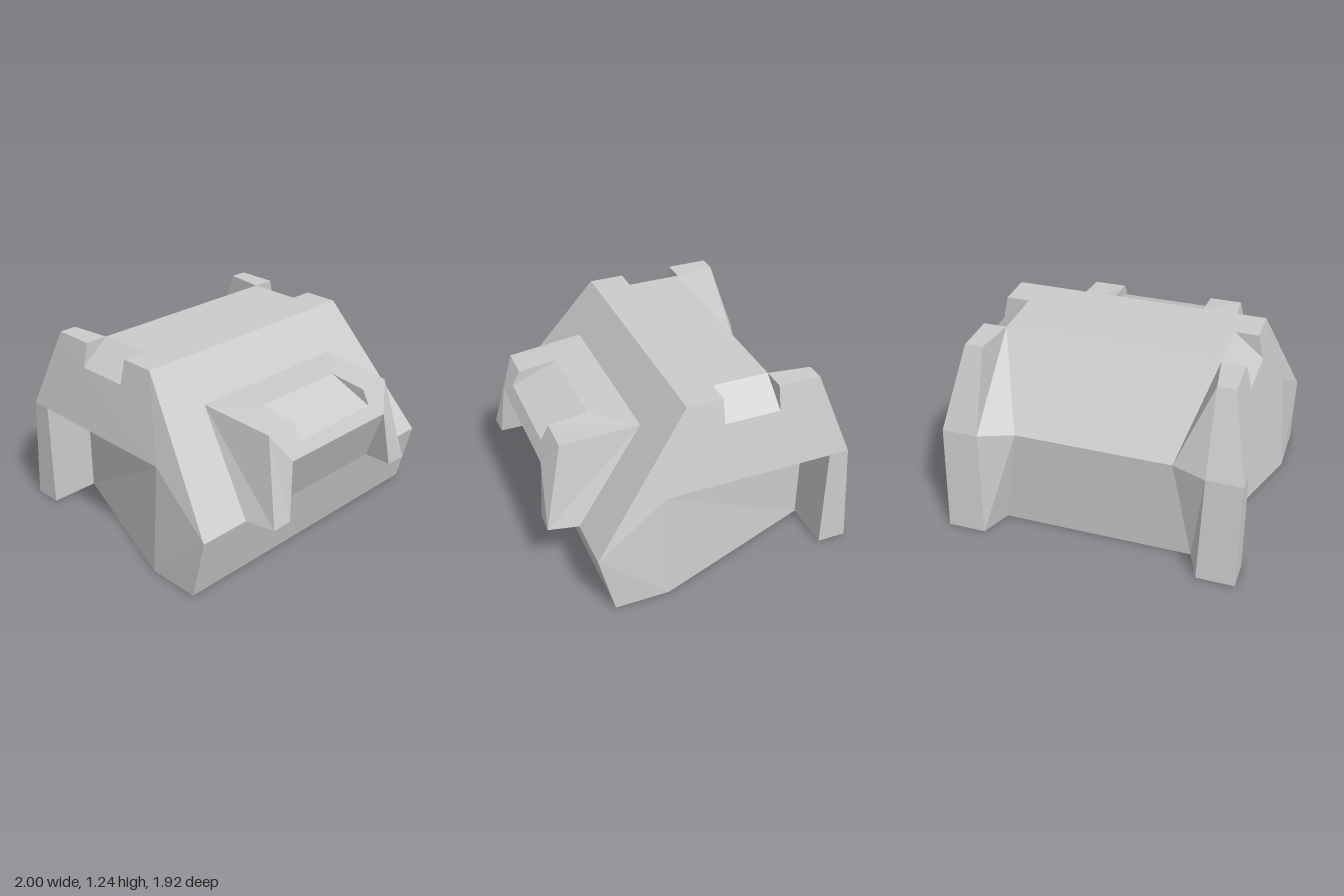
import * as THREE from 'three';

const material = new THREE.MeshStandardMaterial({ color: 0xcccccc, flatShading: true });
const AXES = { x: [1, 2], y: [0, 2], z: [0, 1] };
const mirror = ([x, y, z]) => [-x, y, z];

// A flat panel with the given corners; it faces along the named axis, e.g. '+x'.
function panel(facing, corners) {
  const axis = facing[1];
  const sign = facing[0] === '+' ? 1 : -1;
  const [a, b] = AXES[axis];
  const v = corners.map((p) => new THREE.Vector3(...p));
  const flat = corners.map((p) => new THREE.Vector2(p[a], p[b]));
  const out = [];
  for (const [i, j, k] of THREE.ShapeUtils.triangulateShape(flat, [])) {
    const n = v[j].clone().sub(v[i]).cross(v[k].clone().sub(v[i]));
    const tri = n[axis] * sign >= 0 ? [i, j, k] : [i, k, j];
    tri.forEach((t) => out.push(...corners[t]));
  }
  return out;
}

// Panel across the middle, given its +x half outline.
const span = (facing, half) => panel(facing, [...half, ...half.map(mirror).reverse()]);

// Panel on the +x side and its mirror image.
function pair(facing, corners) {
  const other = facing[1] === 'x' ? (facing[0] === '+' ? '-x' : '+x') : facing;
  return [...panel(facing, corners), ...panel(other, corners.map(mirror))];
}

function part(name, ...panels) {
  const geometry = new THREE.BufferGeometry();
  geometry.setAttribute('position', new THREE.Float32BufferAttribute(panels.flat(), 3));
  geometry.computeVertexNormals();
  const mesh = new THREE.Mesh(geometry, material);
  mesh.name = name;
  return mesh;
}

export function createModel() {
  const group = new THREE.Group();
  group.name = 'armouredBlock';

  // Shared corners, +x half
  const top = 1.235, mid = 0.71, low = 0.41;
  const frontFoot = [1, 0, 0.67], frontBrow = [1, low, 0.77];
  const roofFront = [0.83, top, 0.15], roofBack = [0.83, top, -0.71];
  const sideFoot = [1, 0, 0.32], sideMid = [0.95, mid, 0.32];
  const wallFoot = [0.62, 0, -0.77], wallTop = [0.62, mid, -0.77];
  const backMid = [0.5, mid, -0.82], backTop = [0.68, top, -0.44];
  const hoodFoot = [0.66, low, 0.77], hoodBack = [0.57, 0.99, 0.334];

  // Roof notch corners
  const nIn = [0.68, top, -0.08], nFront = [0.83, top, -0.08], nBack = [0.83, top, -0.44];
  const nLowF = [0.865, 1.08, -0.08], nLowB = [0.865, 1.08, -0.44];

  // Rear leg corners
  const legOutFoot = [0.945, 0, -0.96], legOutMid = [0.945, mid, -0.9];
  const legInFoot = [0.7, 0, -0.96], legInMid = [0.717, mid, -0.9], legInTop = [0.717, top, -0.71];
  const legFrontFoot = [0.945, 0, -0.77], legFrontTop = [0.945, mid, -0.77];

  group.add(
    part('frontShell',
      span('+z', [frontFoot, frontBrow]),
      span('+z', [roofFront, frontBrow, hoodFoot, hoodBack])),
    part('roof',
      span('+y', [roofFront, nFront, nIn, backTop]),
      pair('+y', [backTop, nBack, roofBack, legInTop])),
    part('roofNotches',
      pair('+y', [nIn, nLowF, nLowB, backTop]),
      pair('-z', [nIn, nFront, nLowF]),
      pair('+z', [backTop, nBack, nLowB])),
    part('upperSides',
      pair('+x', [frontBrow, roofFront, nFront, nLowF, nLowB, nBack, roofBack,
        legOutMid, legFrontTop, sideMid]),
      pair('+x', [frontFoot, frontBrow, sideMid, sideFoot])),
    // Walls set back below the side overhang
    part('recessedSides',
      pair('+x', [sideFoot, sideMid, wallTop, wallFoot]),
      pair('-y', [sideMid, legFrontTop, wallTop])),
    part('backWall',
      span('-z', [backTop, backMid]),
      span('-z', [backMid, wallFoot])),
    part('underside', span('-y', [frontFoot, sideFoot, wallFoot])),
    part('rearLegs',
      pair('-z', [legOutFoot, legOutMid, legInMid, legInFoot]),
      pair('-z', [legOutMid, roofBack, legInTop, legInMid]),
      pair('+x', [legOutFoot, legOutMid, legFrontTop, legFrontFoot]),
      pair('+z', [legFrontFoot, legFrontTop, wallTop, wallFoot]),
      pair('-y', [legOutFoot, legFrontFoot, wallFoot, legInFoot]),
      pair('-z', [legInFoot, legInMid, backMid, wallFoot]),
      pair('-z', [legInMid, legInTop, backTop, backMid])),
  );

  // Hood standing out from the front slope
  const hTop = [0.54, 0.955, 0.83], hFoot = [0.62, low, 0.96];
  const lipFoot = [0.48, low, 0.955], lipTop = [0.43, 0.78, 0.92], lipRoot = [0.48, low, 0.77];
  const cutBack = [0.32, 0.985, 0.58], cutEdge = [0.32, 0.955, 0.83], cutLow = [0.32, 0.86, 0.88];
  group.add(
    part('hood',
      span('+y', [hoodBack, hTop, cutEdge, cutBack]),
      span('+z', [cutLow, cutEdge, hTop, hFoot, lipFoot, lipTop]),
      pair('+x', [hoodBack, hTop, hFoot, hoodFoot]),
      pair('-y', [hFoot, hoodFoot, lipRoot, lipFoot])),
    part('hoodNotch',
      span('+y', [cutBack, cutLow]),
      pair('-x', [cutBack, cutEdge, cutLow])),
    part('hoodOpening',
      span('+z', [lipTop, lipRoot]),
      pair('-x', [lipFoot, lipTop, lipRoot])),
  );
  return group;
}
